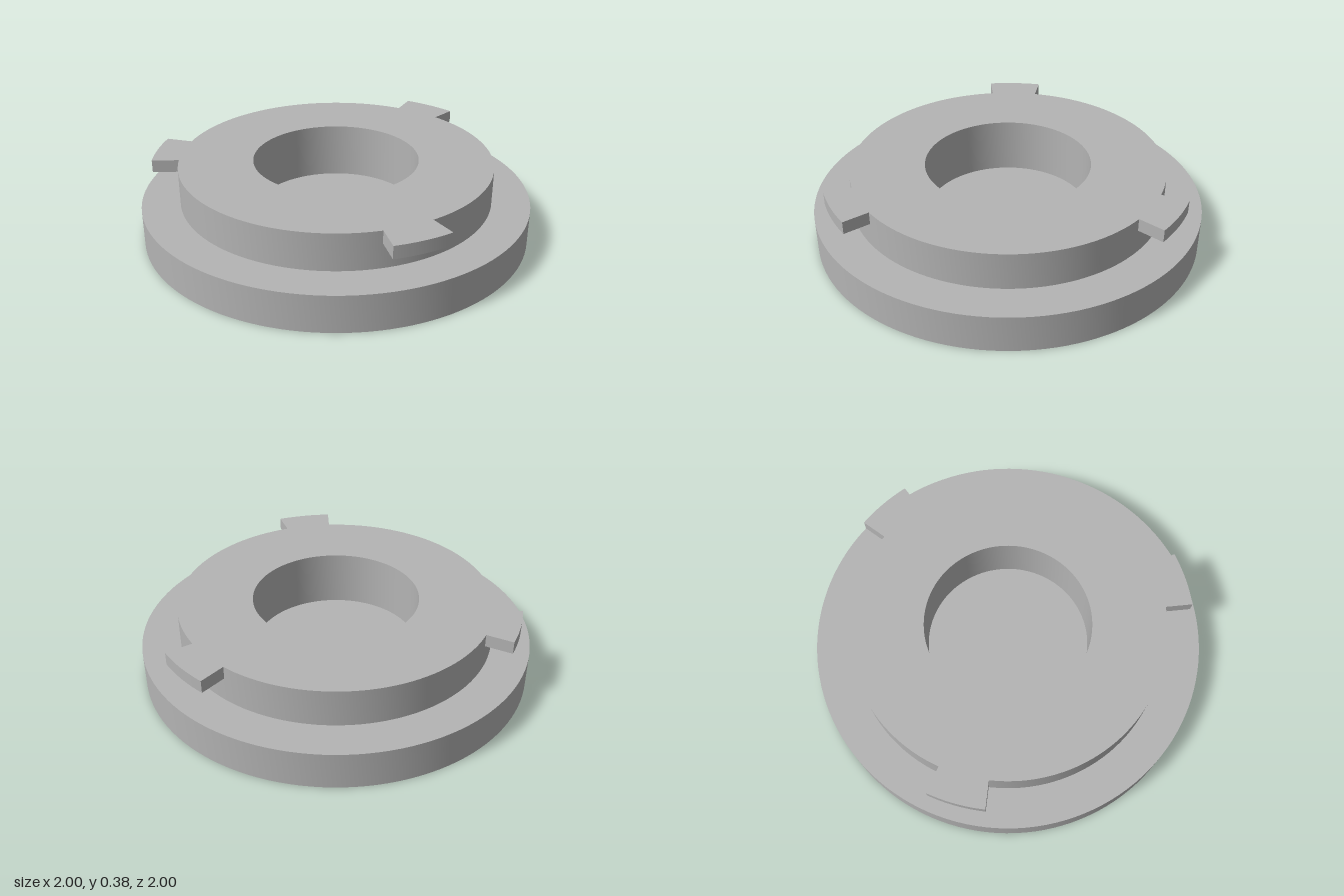
import * as THREE from 'three';
import { toCreasedNormals } from 'three/addons/utils/BufferGeometryUtils.js';

const TOP = 0.38, BASE_TOP = 0.19, FLOOR = 0.09;
const BASE_R = 1, COLLAR_R = 0.805, BORE_R = 0.425;
const TAB_R = 0.943, TAB_BOTTOM = 0.315;

export function createModel() {
  const group = new THREE.Group();
  const grey = new THREE.MeshStandardMaterial({ color: 0xb4b4b4 });
  grey.name = 'grey';

  // Flanged base, raised collar and blind bore as one turned profile
  const profile = [
    [0, 0], [BASE_R, 0], [BASE_R, BASE_TOP], [COLLAR_R, BASE_TOP],
    [COLLAR_R, TOP], [BORE_R, TOP], [BORE_R, FLOOR], [0, FLOOR],
  ].map(([r, y]) => new THREE.Vector2(r, y));
  const body = new THREE.Mesh(
    toCreasedNormals(new THREE.LatheGeometry(profile, 128), Math.PI / 6), grey);
  body.name = 'flangedBody';
  group.add(body);

  // Bayonet tab: a short ring sector flush with the collar top
  const start = THREE.MathUtils.degToRad(-94.9);
  const end = THREE.MathUtils.degToRad(-77.15);
  const sector = new THREE.Shape();
  sector.absarc(0, 0, TAB_R, start, end, false);
  sector.absarc(0, 0, COLLAR_R - 0.003, end, start, true);
  const tabGeometry = toCreasedNormals(
    new THREE.ExtrudeGeometry(sector, {
      depth: TOP - TAB_BOTTOM, bevelEnabled: false, curveSegments: 10,
    }).rotateX(-Math.PI / 2).translate(0, TAB_BOTTOM, 0), Math.PI / 6);

  // Three tabs spaced evenly around the collar
  for (let i = 0; i < 3; i++) {
    const tab = new THREE.Mesh(tabGeometry, grey);
    tab.name = `lockingTab${i + 1}`;
    tab.rotation.y = (i * Math.PI * 2) / 3;
    group.add(tab);
  }
  return group;
}
